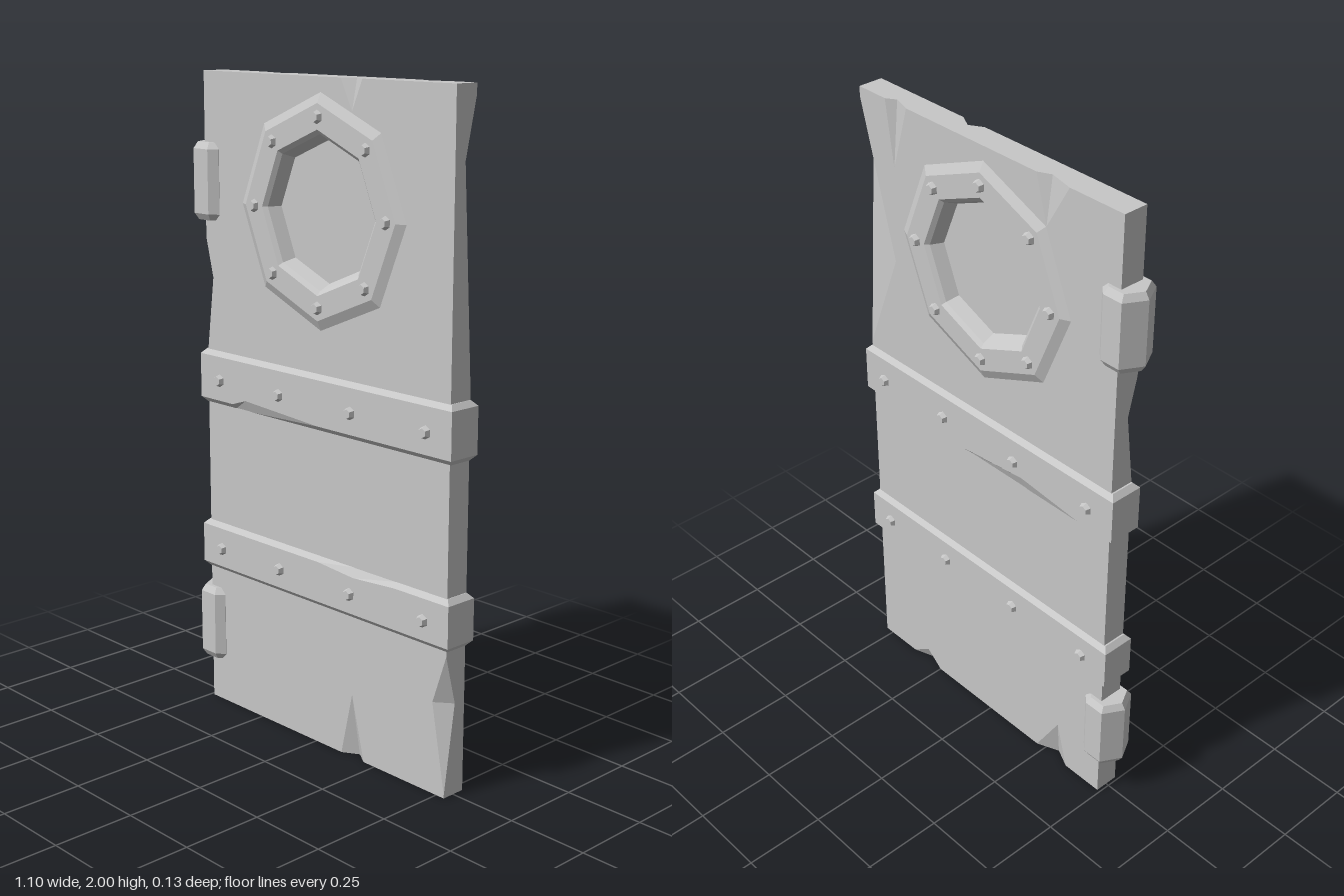
import * as THREE from 'three';

const metal = new THREE.MeshStandardMaterial({ color: 0xc7c7c7, flatShading: true });
metal.name = 'light grey metal';

const X0 = -0.49, X1 = 0.53, H = 2, Z = 0.039, FACE = 0.053;
const CX = 0.02, CY = 1.62; // porthole centre

function part(name, geometry) {
  const mesh = new THREE.Mesh(geometry, metal);
  mesh.name = name;
  return mesh;
}

function fromTriangles(points) {
  const g = new THREE.BufferGeometry().setFromPoints(points);
  g.computeVertexNormals();
  return g;
}

// Stacks rings of points (counter-clockwise from above) into a closed solid
function loft(rings) {
  const out = [], n = rings[0].length, top = rings[rings.length - 1];
  for (let r = 0; r < rings.length - 1; r++) {
    const a = rings[r], b = rings[r + 1];
    for (let i = 0; i < n; i++) {
      const j = (i + 1) % n;
      out.push(a[i], a[j], b[j], a[i], b[j], b[i]);
    }
  }
  for (let i = 1; i < n - 1; i++) {
    out.push(rings[0][0], rings[0][i + 1], rings[0][i], top[0], top[i], top[i + 1]);
  }
  return fromTriangles(out);
}

// Chipped edges: side (0 bottom, 1 right, 2 top, 3 left), face (1 front, -1 back),
// start and end along the side, apex on the face (along, inward), apex on the side (along, z)
const chips = [
  [0, 1, 0.60, 0.695, 0.645, 0.2, 0.65, 0.01],
  [1, 1, 0.01, 0.43, 0.28, 0.05, 0.28, 0.0],
  [2, 1, 0.345, 0.43, 0.385, 0.09, 0.39, 0.015],
  [3, 1, 0.5, 0.85, 0.62, 0.03, 0.62, 0.01],
  [0, -1, 0.14, 0.27, 0.18, 0.15, 0.2, -0.01],
  [0, -1, 0.74, 0.87, 0.8, 0.05, 0.8, -0.015],
  [1, -1, 1.17, 1.97, 1.5, 0.13, 1.8, 0.0],
  [2, -1, 0.11, 0.2, 0.14, 0.2, 0.14, -0.02],
  [2, -1, 0.71, 0.83, 0.75, 0.14, 0.75, -0.02],
];

function slabGeometry() {
  const W = X1 - X0, lengths = [W, H, W, H], out = [];
  const at = (side, t, inward, z) => [
    () => new THREE.Vector3(X0 + t, inward, z),
    () => new THREE.Vector3(X1 - inward, t, z),
    () => new THREE.Vector3(X1 - t, H - inward, z),
    () => new THREE.Vector3(X0 + inward, H - t, z),
  ][side]();
  const fill = (outline, flat, hole = [], flip = false) => {
    const all = [...outline, ...hole];
    const tris = THREE.ShapeUtils.triangulateShape(outline.map(flat), hole.length ? [hole.map(flat)] : []);
    for (const [a, b, c] of tris) out.push(all[a], all[flip ? c : b], all[flip ? b : c]);
  };
  const on = (side, face) => chips.filter((c) => c[0] === side && c[1] === face);

  // front and back faces with the porthole opening
  for (const face of [1, -1]) {
    const z = Z * face, outline = [], hole = [];
    for (let s = 0; s < 4; s++) {
      outline.push(at(s, 0, 0, z));
      for (const [, , a, b, ft, fin] of on(s, face)) {
        outline.push(at(s, a, 0, z), at(s, ft, fin, z), at(s, b, 0, z));
      }
    }
    for (let i = 0; i < 8; i++) {
      const q = -i * Math.PI / 4;
      hole.push(new THREE.Vector3(CX + 0.25 * Math.cos(q), CY + 0.25 * Math.sin(q), z));
    }
    fill(outline, (p) => new THREE.Vector2(p.x, p.y), hole, face < 0);
  }

  // narrow sides
  for (let s = 0; s < 4; s++) {
    const edge = (face) => [
      at(s, 0, 0, Z * face),
      ...on(s, face).flatMap(([, , a, b, , , st, sz]) => [at(s, a, 0, Z * face), at(s, st, 0, sz), at(s, b, 0, Z * face)]),
      at(s, lengths[s], 0, Z * face),
    ];
    const along = [(p) => p.x, (p) => p.y, (p) => -p.x, (p) => -p.y][s];
    fill([...edge(-1), ...edge(1).reverse()], (p) => new THREE.Vector2(along(p), p.z));
  }

  // broken surfaces of the chips
  for (const [s, face, a, b, ft, fin, st, sz] of chips) {
    const A = at(s, a, 0, Z * face), B = at(s, b, 0, Z * face);
    const F = at(s, ft, fin, Z * face), S = at(s, st, 0, sz);
    if (face > 0) out.push(F, A, S, B, F, S);
    else out.push(A, F, S, F, B, S);
  }
  return fromTriangles(out);
}

// Cross band with bevelled top and bottom; each dent is [x start, middle, end, ring, drop]
function bandGeometry(y0, y1, front, back) {
  const levels = [[y0, 0.015], [y0 + 0.016, 0], [y1 - 0.016, 0], [y1, 0.015]];
  return loft(levels.map(([y, inset], k) => {
    const l = -0.51 + inset, r = 0.547 - inset, z = FACE - inset;
    const row = ([a, m, b, ring, drop], zz) => [l, a, m, b, r].map(
      (x) => new THREE.Vector3(x, y + (x === m && k === ring ? drop : 0), zz));
    return [...row(front, z), ...row(back, -z).reverse()];
  }));
}

function hingeGeometry(y0, y1) {
  const profile = [[-0.55, 0], [-0.515, 0.063], [-0.45, 0.063], [-0.425, 0.04],
    [-0.425, -0.04], [-0.45, -0.063], [-0.515, -0.063]];
  const levels = [[y0, 0.8], [y0 + 0.02, 1], [y1 - 0.02, 1], [y1, 0.8]];
  return loft(levels.map(([y, k]) => profile.map(
    ([x, z]) => new THREE.Vector3(-0.485 + (x + 0.485) * k, y, z * k))));
}

// Porthole rim and bolts for one face of the door
function faceFittings(name) {
  const group = new THREE.Group();
  group.name = name;
  const profile = [[0.348, 0.034], [0.308, FACE], [0.235, FACE], [0.222, 0.042], [0.203, 0]];
  const rim = part('portholeRim', new THREE.LatheGeometry(
    profile.map(([r, y]) => new THREE.Vector2(r, y)), 8).rotateX(Math.PI / 2));
  rim.position.set(0, CY, 0);
  group.add(rim);

  const boltGeometry = new THREE.CylinderGeometry(0.014, 0.021, 0.016, 6).rotateX(Math.PI / 2);
  const addBolt = (label, x, y) => {
    const bolt = part(label, boltGeometry);
    bolt.position.set(x, y, FACE + 0.006);
    group.add(bolt);
  };
  for (let i = 0; i < 8; i++) {
    const q = i * Math.PI / 4;
    addBolt('rimBolt', 0.27 * Math.cos(q), CY + 0.27 * Math.sin(q));
  }
  for (const y of [0.52, 1.065]) {
    for (const x of [-0.44, -0.17, 0.135, 0.43]) addBolt('bandBolt', x, y);
  }
  group.position.x = CX;
  return group;
}

export function createModel() {
  const door = new THREE.Group();
  door.name = 'door';
  door.add(part('doorSlab', slabGeometry()));
  door.add(part('upperBand', bandGeometry(0.985, 1.155,
    [-0.36, -0.3, 0.02, 1, 0.02], [-0.38, -0.15, 0.1, 1, 0.025])));
  door.add(part('lowerBand', bandGeometry(0.445, 0.602,
    [0.02, 0.17, 0.34, 2, -0.012], [-0.2, 0.05, 0.3, 2, 0])));
  door.add(part('upperHinge', hingeGeometry(1.555, 1.79)));
  door.add(part('lowerHinge', hingeGeometry(0.14, 0.38)));

  // recessed porthole pane
  const pane = part('portholePane', new THREE.CylinderGeometry(0.21, 0.21, 0.008, 8).rotateX(Math.PI / 2));
  pane.position.set(CX, CY, 0);
  door.add(pane);

  const back = faceFittings('backFittings');
  back.rotation.y = Math.PI;
  door.add(faceFittings('frontFittings'), back);
  return door;
}
